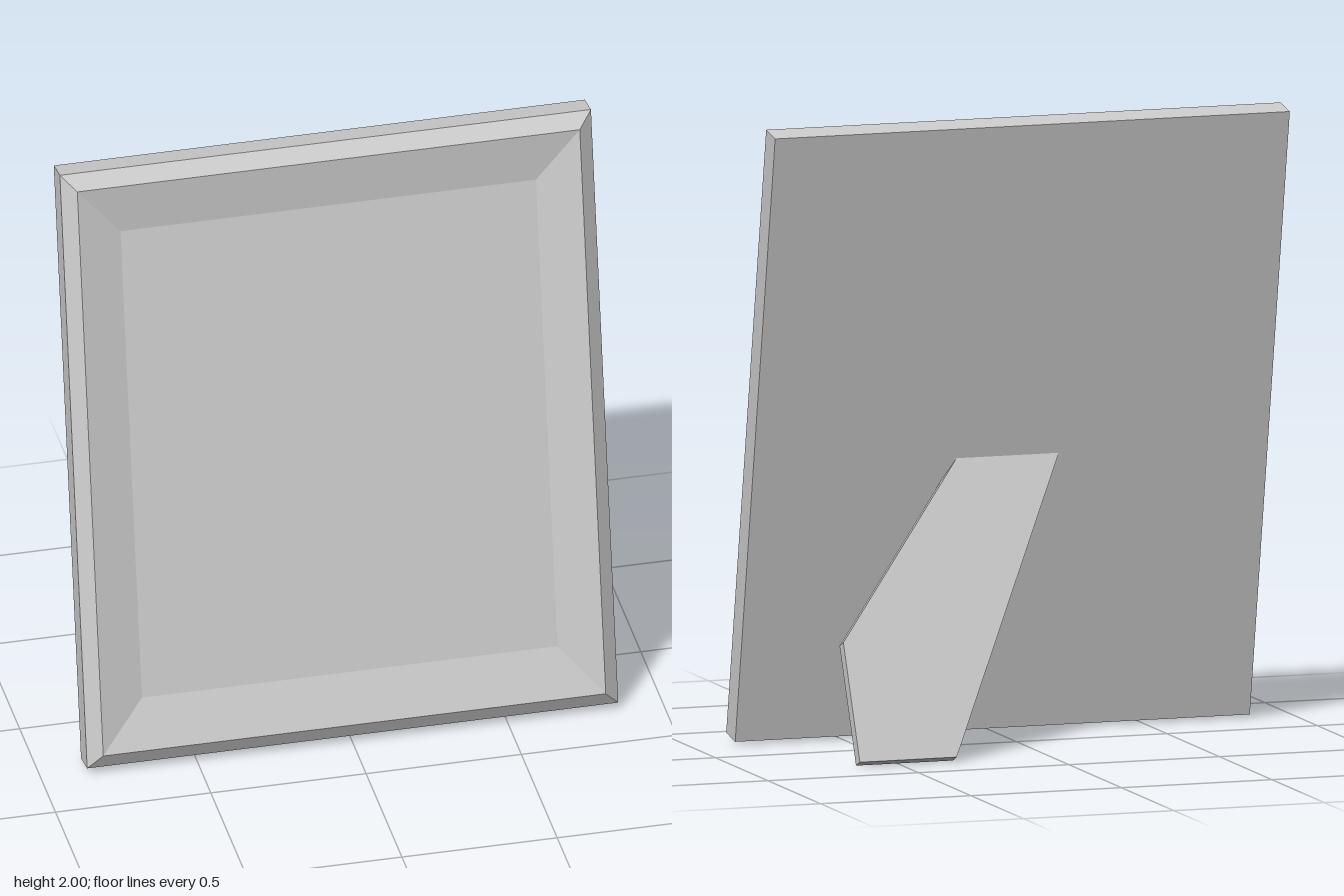
import * as THREE from 'three';

const material = new THREE.MeshStandardMaterial({ color: 0xcccccc, flatShading: true });
const W = 0.855, H = 2.006;

// Rectangle of four corners, inset from the outer edge, at depth z
function ring(insetX, insetY, z) {
  const x = W - insetX, y0 = insetY, y1 = H - insetY;
  return [[-x, y0, z], [x, y0, z], [x, y1, z], [-x, y1, z]];
}

// Mesh from four-cornered faces
function quadMesh(name, quads) {
  const pos = quads.flatMap(([a, b, c, d]) => [a, b, c, a, c, d]).flat();
  const geo = new THREE.BufferGeometry();
  geo.setAttribute('position', new THREE.Float32BufferAttribute(pos, 3));
  geo.computeVertexNormals();
  const mesh = new THREE.Mesh(geo, material);
  mesh.name = name;
  return mesh;
}

// Faces joining one ring to the next
function band(a, b) {
  return a.map((p, i) => {
    const j = (i + 1) % 4;
    return [p, a[j], b[j], b[i]];
  });
}

export function createModel() {
  const model = new THREE.Group();
  model.name = 'pictureFrame';

  // Leaning frame: back edge, outer front edge, raised ridge, sunken panel edge
  const rings = [
    ring(0, 0, 0),
    ring(0, 0, 0.087),
    ring(0.046, 0.049, 0.122),
    ring(0.186, 0.214, 0.085),
  ];
  const leaning = new THREE.Group();
  leaning.name = 'leaningFrame';
  const border = [];
  for (let i = 0; i < rings.length - 1; i++) border.push(...band(rings[i], rings[i + 1]));
  leaning.add(
    quadMesh('border', border),
    quadMesh('picturePanel', [rings[3]]),
    quadMesh('backPanel', [[...rings[0]].reverse()]),
  );
  leaning.position.set(0, 0.01, 0.228);
  leaning.rotation.x = -0.191;
  model.add(leaning);

  // Slanted prop leg, swept to one side; its top end sinks into the back
  const outline = new THREE.Shape([
    [0.315, 0], [0.637, 0], [0.637, 0.39], [0.18, 0.967], [-0.16, 0.967],
  ].map(([x, y]) => new THREE.Vector2(x, y)));
  const leg = new THREE.Mesh(
    new THREE.ExtrudeGeometry(outline, { depth: 0.04, bevelEnabled: false }), material);
  leg.name = 'propLeg';
  leg.position.set(0, 0.0162, -0.335);
  leg.rotation.x = 0.415;
  model.add(leg);

  return model;
}
